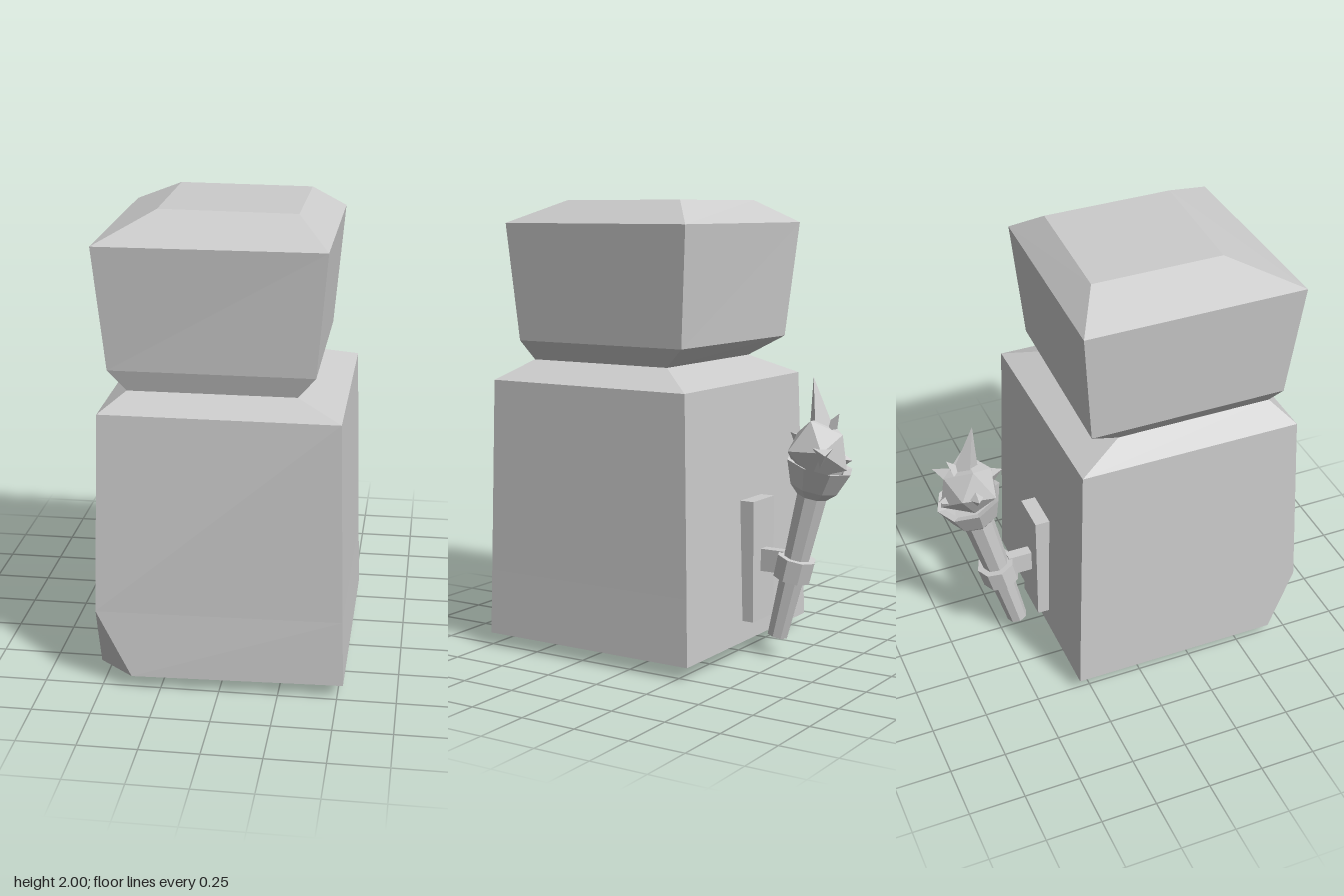
import * as THREE from 'three';

const material = new THREE.MeshStandardMaterial({ color: 0xcccccc, flatShading: true });
const openMaterial = new THREE.MeshStandardMaterial({ color: 0xcccccc, flatShading: true, side: THREE.DoubleSide });

function add(parent, name, geometry, x = 0, y = 0, z = 0, mat = material) {
  const mesh = new THREE.Mesh(geometry, mat);
  mesh.name = name;
  mesh.position.set(x, y, z);
  parent.add(mesh);
  return mesh;
}

// Stone block from rings: [y, xRight, xLeft, back z at -x, back z at +x, front z at -x, front z at +x]
function pillarGeometry() {
  const rings = [
    [0, -0.37, 0.32, -0.12, -0.12, 0.57, 0.57],
    [0.06, -0.525, 0.525, -0.305, -0.305, 0.775, 0.74],
    [0.35, -0.52, 0.517, -0.298, -0.298, 0.765, 0.735],
    [1.21, -0.5, 0.495, -0.275, -0.275, 0.72, 0.72],
    [1.29, -0.39, 0.31, -0.07, -0.07, 0.635, 0.635],
    [1.38, -0.465, 0.385, -0.22, -0.19, 0.66, 0.66],
    [1.9, -0.51, 0.43, -0.27, -0.238, 0.705, 0.695],
    [2, -0.29, 0.29, -0.15, -0.125, 0.43, 0.455],
  ].map(([y, x0, x1, b0, b1, f0, f1], i) => {
    const chip = i === 1; // broken lower front corner
    return [
      [x1, y, f1], [x1, y, b1], [x0, y, b0],
      [x0, y, chip ? 0.65 : f0],
      [chip ? -0.37 : x0, y, f0],
    ];
  });
  const positions = [];
  const tri = (a, b, c) => positions.push(...a, ...b, ...c);
  for (let r = 0; r < rings.length - 1; r++) {
    const lo = rings[r], hi = rings[r + 1];
    for (let i = 0; i < 5; i++) {
      const j = (i + 1) % 5;
      if (lo[i].join() !== lo[j].join()) tri(lo[i], lo[j], hi[j]);
      if (hi[i].join() !== hi[j].join()) tri(lo[i], hi[j], hi[i]);
    }
  }
  const bottom = rings[0], top = rings[rings.length - 1];
  for (let i = 1; i < 3; i++) {
    tri(top[0], top[i], top[i + 1]);
    tri(bottom[0], bottom[i + 1], bottom[i]);
  }
  const geometry = new THREE.BufferGeometry();
  geometry.setAttribute('position', new THREE.Float32BufferAttribute(positions, 3));
  geometry.computeVertexNormals();
  return geometry;
}

// Pointed shard running from a base point to a tip
function spike(parent, base, tip, radius, sides) {
  const a = new THREE.Vector3(...base), b = new THREE.Vector3(...tip);
  const direction = b.clone().sub(a);
  const mesh = add(parent, 'flameSpike', new THREE.ConeGeometry(radius, direction.length(), sides));
  mesh.position.copy(a).add(b).multiplyScalar(0.5);
  mesh.quaternion.setFromUnitVectors(new THREE.Vector3(0, 1, 0), direction.normalize());
}

export function createModel() {
  const model = new THREE.Group();
  model.name = 'stonePillarWithTorch';
  add(model, 'pillar', pillarGeometry());

  // Wall bracket
  const cx = -0.035;
  add(model, 'wallPlate', new THREE.BoxGeometry(0.185, 0.54, 0.085), cx, 0.425, -0.313);
  add(model, 'bracketArm', new THREE.BoxGeometry(0.05, 0.1, 0.12), cx, 0.425, -0.405);

  // Tilted torch, built upright from its foot
  const torch = new THREE.Group();
  torch.name = 'torch';
  torch.position.set(cx, 0.09, -0.43);
  torch.rotation.x = -0.25;
  model.add(torch);
  add(torch, 'handle', new THREE.CylinderGeometry(0.07, 0.047, 0.68, 8), 0, 0.34, 0);
  add(torch, 'collar', new THREE.CylinderGeometry(0.088, 0.086, 0.1, 8), 0, 0.325, 0);
  const cup = [[0, 0.66], [0.065, 0.66], [0.11, 0.705], [0.15, 0.81], [0.115, 0.8], [0.09, 0.73], [0, 0.73]];
  add(torch, 'cup', new THREE.LatheGeometry(cup.map(p => new THREE.Vector2(...p)), 8), 0, 0, 0, openMaterial);

  // Jagged flame
  const flame = new THREE.Group();
  flame.name = 'flame';
  model.add(flame);
  const core = new THREE.IcosahedronGeometry(0.14, 0);
  const p = core.attributes.position;
  for (let i = 0; i < p.count; i++) {
    const s = 1 + 0.13 * Math.sin(p.getX(i) * 47 + p.getY(i) * 31 + p.getZ(i) * 23);
    p.setXYZ(i, p.getX(i) * s, p.getY(i) * s, p.getZ(i) * s);
  }
  core.computeVertexNormals();
  add(flame, 'flameCore', core, cx, 0.94, -0.625);
  spike(flame, [cx, 0.98, -0.645], [cx, 1.25, -0.595], 0.07, 4);
  spike(flame, [cx, 0.98, -0.65], [cx, 1.1, -0.72], 0.06, 3);
  spike(flame, [0.02, 0.93, -0.66], [0.135, 0.94, -0.74], 0.07, 3);
  spike(flame, [cx, 0.95, -0.57], [cx - 0.02, 1.0, -0.475], 0.07, 3);
  spike(flame, [-0.07, 0.93, -0.62], [-0.195, 0.96, -0.63], 0.08, 4);
  spike(flame, [cx, 0.9, -0.66], [cx - 0.02, 0.9, -0.775], 0.08, 4);
  return model;
}
